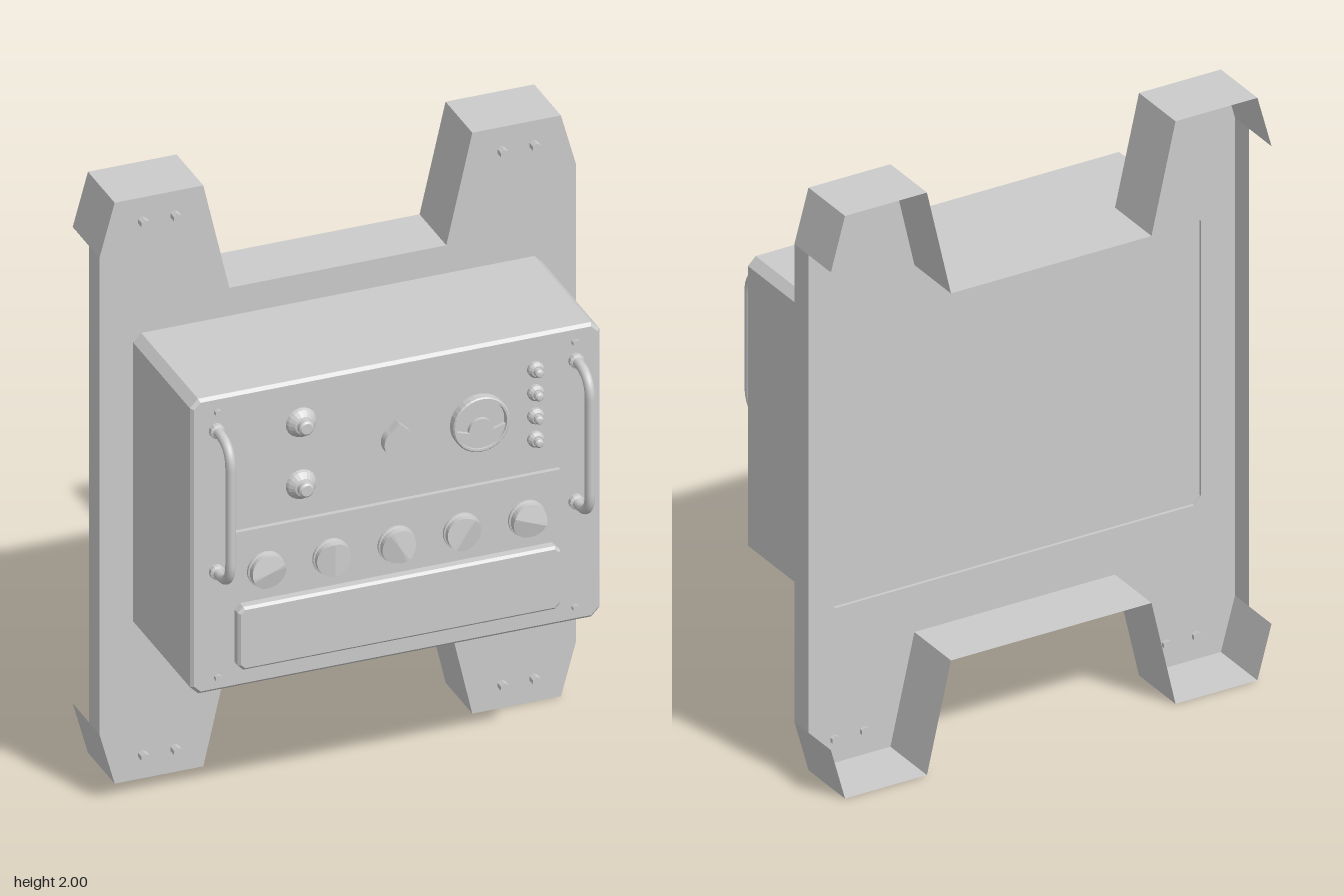
import * as THREE from 'three';

const flat = new THREE.MeshStandardMaterial({ color: 0xcccccc, flatShading: true, side: THREE.DoubleSide });
const smooth = new THREE.MeshStandardMaterial({ color: 0xcccccc });
const FACE = 0.272; // front face of the cabinet
const BACK = -0.19; // mounting plate

function add(parent, name, geo, mat = flat, x = 0, y = 0, z = 0) {
  const m = new THREE.Mesh(geo, mat);
  m.name = name;
  m.position.set(x, y, z);
  parent.add(m);
  return m;
}

// Rectangle with cut corners, centred on (0, cy)
function cutRect(hw, hh, c, cy = 0) {
  return [[hw, cy - hh + c], [hw, cy + hh - c], [hw - c, cy + hh], [-hw + c, cy + hh],
    [-hw, cy + hh - c], [-hw, cy - hh + c], [-hw + c, cy - hh], [hw - c, cy - hh]]
    .map(([x, y]) => new THREE.Vector2(x, y));
}

// Wall along a closed counterclockwise outline; depthAt gives the far z of each edge
function wall(pts, z0, depthAt) {
  const pos = [];
  pts.forEach((a, i) => {
    const b = pts[(i + 1) % pts.length], z1 = depthAt(a, b);
    pos.push(a.x, a.y, z0, a.x, a.y, z1, b.x, b.y, z1, a.x, a.y, z0, b.x, b.y, z1, b.x, b.y, z0);
  });
  const g = new THREE.BufferGeometry();
  g.setAttribute('position', new THREE.Float32BufferAttribute(pos, 3));
  g.computeVertexNormals();
  return g;
}

// Solid slab from z0 to z1 with a small bevel on its edges
function slab(pts, z0, z1, bevel) {
  const g = new THREE.ExtrudeGeometry(new THREE.Shape(pts), {
    depth: z1 - z0 - 2 * bevel, bevelEnabled: bevel > 0, bevelSize: bevel,
    bevelThickness: bevel, bevelOffset: -bevel, bevelSegments: 1, curveSegments: 12,
  });
  return g.translate(0, 0, z0 + bevel);
}

// Turned part: profile of [radius, height], axis along z
function turned(profile, segments) {
  return new THREE.LatheGeometry(profile.map(([r, h]) => new THREE.Vector2(r, h)), segments).rotateX(Math.PI / 2);
}

function knobGeometry(r, angle) {
  const g = new THREE.CylinderGeometry(r, r, 0.026, 32, 1).rotateX(Math.PI / 2).translate(0, 0, 0.013);
  const p = g.attributes.position;
  // Slope the top into a pointer ridge
  for (let i = 0; i < p.count; i++) {
    if (p.getZ(i) < 0.02) continue;
    const x = p.getX(i), y = p.getY(i);
    const across = Math.abs(x * Math.cos(angle) + y * Math.sin(angle)) / r;
    p.setZ(i, 0.038 - 0.012 * across);
  }
  return g;
}

export function createModel() {
  const group = new THREE.Group();

  // Mounting plate: H-shaped sheet with folded flanges
  const quarter = [[0.78, 1.82], [0.73, 2], [0.44, 2], [0.355, 1.63]];
  const mirrorX = quarter.map(([x, y]) => [-x, y]).reverse();
  const top = [...quarter, ...mirrorX];
  const outline = [...top, ...top.map(([x, y]) => [x, 2 - y]).reverse()]
    .map(([x, y]) => new THREE.Vector2(x, y));
  const opening = cutRect(0.66, 0.497, 0.025, 1.027);
  const plate = new THREE.Shape(outline);
  plate.holes.push(new THREE.Path(opening));
  add(group, 'mountingPlate', new THREE.ShapeGeometry(plate), flat, 0, 0, BACK);
  add(group, 'plateFlanges', wall(outline, BACK, (a, b) =>
    Math.abs(a.x) > 0.77 && Math.abs(b.x) > 0.77 ? -0.272 : -0.403));

  // Cabinet
  const body = cutRect(0.67, 0.507, 0.027, 1.027);
  add(group, 'cabinet', slab(body, -0.18, FACE, 0.01));
  add(group, 'cabinetSkirt', wall(body, BACK, () => -0.165));
  add(group, 'openingRim', wall(opening, BACK, () => -0.178));

  // Plate bolts and cabinet screws
  const bolt = new THREE.CylinderGeometry(0.015, 0.015, 0.04, 6).rotateX(Math.PI / 2);
  const screw = new THREE.CylinderGeometry(0.011, 0.011, 0.016, 6).rotateX(Math.PI / 2);
  for (const s of [-1, 1]) {
    for (const y of [0.083, 1.92])
      for (const x of [0.535, 0.64]) add(group, 'plateBolt', bolt, flat, s * x, y, BACK + 0.008);
    for (const y of [0.57, 1.483]) add(group, 'cabinetScrew', screw, flat, s * 0.585, y, FACE + 0.006);

    // Handle
    const handle = new THREE.Group();
    handle.name = 'handle';
    handle.position.set(s * 0.588, 0, FACE);
    const path = new THREE.CurvePath(), V = (y, z) => new THREE.Vector3(0, y, z);
    path.add(new THREE.LineCurve3(V(0.935, 0), V(0.935, 0.04)));
    path.add(new THREE.QuadraticBezierCurve3(V(0.935, 0.04), V(0.94, 0.115), V(1.02, 0.115)));
    path.add(new THREE.LineCurve3(V(1.02, 0.115), V(1.34, 0.115)));
    path.add(new THREE.QuadraticBezierCurve3(V(1.34, 0.115), V(1.415, 0.115), V(1.42, 0.04)));
    path.add(new THREE.LineCurve3(V(1.42, 0.04), V(1.42, 0)));
    add(handle, 'handleBar', new THREE.TubeGeometry(path, 60, 0.016, 12), smooth);
    for (const y of [0.935, 1.42])
      add(handle, 'handleFoot', turned([[0.024, 0], [0.024, 0.014], [0.016, 0.018]], 12), flat, 0, y, 0);
    group.add(handle);
  }

  // Push buttons
  for (const y of [1.177, 1.39])
    add(group, 'pushButton', turned([[0.05, 0], [0.046, 0.01], [0.03, 0.026], [0.024, 0.028],
      [0.024, 0.045], [0.018, 0.05], [0, 0.05]], 20), flat, -0.31, y, FACE);

  // Selector with pointed tip
  const selector = new THREE.Shape();
  selector.moveTo(0, 0.068);
  selector.lineTo(-0.028, 0.04);
  selector.absarc(0, 0, 0.049, Math.PI * 0.695, Math.PI * 2.305, false);
  selector.closePath();
  add(group, 'selector', new THREE.ExtrudeGeometry(selector, { depth: 0.03, bevelEnabled: false, curveSegments: 20 }),
    flat, 0, 1.268, FACE);

  // Round meter: rim, recessed dial and lower cover with a domed middle
  const meter = new THREE.Group();
  meter.name = 'meter';
  meter.position.set(0.27, 1.275, FACE);
  add(meter, 'meterRim', turned([[0.093, 0], [0.093, 0.026], [0.089, 0.03], [0.082, 0.03], [0.08, 0.012]], 32));
  add(meter, 'meterDial', new THREE.CircleGeometry(0.082, 32), flat, 0, 0, 0.012);
  const cover = new THREE.Shape();
  cover.absarc(0, 0, 0.081, Math.PI * 1.05, Math.PI * 1.95, false);
  cover.lineTo(0.038, -0.026);
  cover.absarc(0, -0.022, 0.04, 0, Math.PI, false);
  cover.lineTo(-0.038, -0.026);
  cover.closePath();
  add(meter, 'meterCover', new THREE.ExtrudeGeometry(cover, { depth: 0.014, bevelEnabled: false }), flat, 0, 0, 0.01);
  group.add(meter);

  // Indicator lamps
  for (let i = 0; i < 4; i++)
    add(group, 'indicatorLamp', turned([[0.026, 0], [0.026, 0.012], [0.018, 0.022], [0.014, 0.022],
      [0.014, 0.038], [0.009, 0.044], [0, 0.045]], 14), flat, 0.455, 1.177 + i * 0.08, FACE);

  // Scale strip, rotary knobs and lower cover panel
  add(group, 'scaleStrip', new THREE.BoxGeometry(1.065, 0.063, 0.03), flat, 0, 1.03, FACE);
  [1.9, 0, 0.5, -0.6, 1.2].forEach((angle, i) => {
    const x = (i - 2) * 0.2135;
    add(group, 'knobCollar', turned([[0.06, 0], [0.06, 0.008], [0.05, 0.012]], 32), flat, x, 0.91, FACE);
    add(group, 'rotaryKnob', knobGeometry(0.055, angle), flat, x, 0.91, FACE);
  });
  add(group, 'lowerPanel', slab(cutRect(0.528, 0.108, 0.018, 0.7), FACE - 0.01, 0.306, 0.008));

  return group;
}
